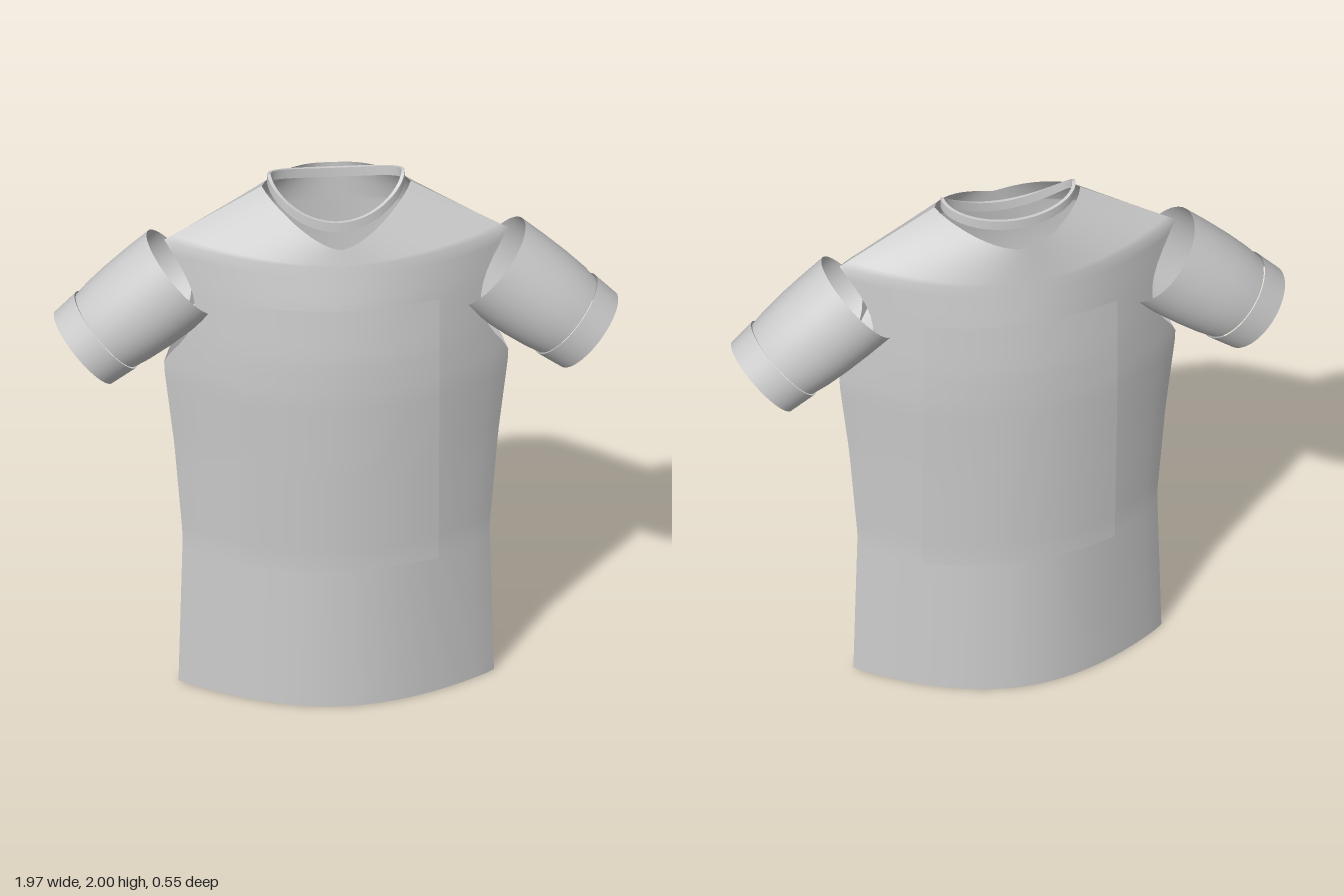
import * as THREE from 'three';

const { lerp } = THREE.MathUtils;

// Body profile: height, half width, front depth, back depth
const profile = [
  [0, 0.55, 0.225, 0.24], [0.58, 0.535, 0.23, 0.238], [0.95, 0.565, 0.255, 0.255],
  [1.25, 0.6, 0.272, 0.268], [1.4, 0.6, 0.274, 0.27], [1.6, 0.6, 0.262, 0.262], [1.76, 0.6, 0.237, 0.25],
];
const NECK = { halfWidth: 0.26, side: 1.96, front: 1.82, back: 1.91 };

function section(y) {
  let i = 0;
  while (i < profile.length - 2 && y > profile[i + 1][0]) i++;
  const a = profile[i], b = profile[i + 1], t = (y - a[0]) / (b[0] - a[0]);
  return { w: lerp(a[1], b[1], t), front: lerp(a[2], b[2], t), back: lerp(a[3], b[3], t) };
}

// Pointed-oval cross-section: 1 at the middle, 0 at the side seam
const bulge = (u, power = 0.88) => Math.pow(Math.max(0, Math.cos((Math.PI / 2) * u)), power);

// Surface from a rule: fn(s, t) returns [x, y, z] with s and t in 0..1
function grid(ns, nt, fn) {
  const pos = [], index = [];
  for (let j = 0; j <= nt; j++)
    for (let i = 0; i <= ns; i++) pos.push(...fn(i / ns, j / nt));
  for (let j = 0; j < nt; j++)
    for (let i = 0; i < ns; i++) {
      const a = j * (ns + 1) + i, b = a + 1, c = a + ns + 1, d = c + 1;
      index.push(a, b, d, a, d, c);
    }
  const geo = new THREE.BufferGeometry();
  geo.setAttribute('position', new THREE.Float32BufferAttribute(pos, 3));
  geo.setIndex(index);
  geo.computeVertexNormals();
  return geo;
}

// One half of the body; side is 1 for the front, -1 for the back
function bodyHalf(side) {
  const key = side > 0 ? 'front' : 'back';
  const lower = 0.8; // share of the rows below the shoulders
  return grid(40, 50, (s, t) => {
    const u = (s * 2 - 1) * side;
    if (t <= lower) {
      const y = (t / lower) * 1.76, c = section(y);
      // Armhole cut into the side seam
      const k = Math.min(1, Math.max(0, (y - 1.29) / 0.47));
      const v = u * (1 - 0.17 * Math.sin(Math.PI * k));
      return [c.w * v, y, side * c[key] * bulge(v)];
    }
    // Shoulders close in towards the neckline
    const k = (t - lower) / (1 - lower), c = section(1.76);
    const neckY = lerp(NECK[key], NECK.side, Math.pow(Math.abs(u), 1.4));
    const depth = lerp(c[key], side > 0 ? 0.225 : 0.24, k);
    return [u * lerp(c.w, NECK.halfWidth, k), lerp(1.76, neckY, k), side * depth * bulge(u, lerp(0.88, 0.75, k))];
  });
}

// Thin panel lying on the chest or the back
function panelGeometry(side) {
  return grid(24, 24, (s, t) => {
    const x = (s * 2 - 1) * 0.345 * side, y = lerp(0.545, 1.6, t), c = section(y);
    const depth = side > 0 ? c.front : c.back;
    return [x, y, side * (depth * bulge(x / c.w) + 0.005 + 0.028 * (x / 0.345) ** 2)];
  });
}

// Neck band: a thin rectangular section swept round an oval that dips at the front
function collarGeometry() {
  const corners = [[0, 0], [0.012, 0], [0.012, 0.036], [0, 0.036], [0, 0]];
  const parts = new THREE.Group();
  for (let e = 0; e < 4; e++) {
    parts.add(new THREE.Mesh(grid(72, 1, (s, t) => {
      const a = -s * Math.PI * 2, sin = Math.sin(a);
      const [out, up] = corners[e + t];
      const drop = (sin > 0 ? 0.135 : 0.045) * Math.pow(Math.abs(sin), 1.5);
      return [(0.228 + out) * Math.cos(a), 1.964 - drop + up, -0.01 + (0.11 + out) * sin];
    })));
  }
  return parts;
}

export function createModel() {
  const fabric = new THREE.MeshStandardMaterial({ color: 0xcccccc, side: THREE.DoubleSide });
  fabric.name = 'light grey fabric';

  const shirt = new THREE.Group();
  shirt.name = 'shirt';
  const add = (parent, name, geometry) => {
    const mesh = new THREE.Mesh(geometry, fabric);
    mesh.name = name;
    parent.add(mesh);
    return mesh;
  };

  // Body and panels
  for (const [side, label] of [[1, 'front'], [-1, 'back']]) {
    add(shirt, label + 'Body', bodyHalf(side));
    add(shirt, label + 'Panel', panelGeometry(side));
  }

  // Neck band
  const collar = collarGeometry();
  collar.name = 'collar';
  collar.children.forEach((mesh, i) => {
    mesh.material = fabric;
    mesh.name = ['collarBottom', 'collarOutside', 'collarTop', 'collarInside'][i];
  });
  shirt.add(collar);

  // Open tapered sleeves with a slightly raised cuff
  const lathe = (pts) => new THREE.LatheGeometry(pts.map(([r, y]) => new THREE.Vector2(r, y)), 48);
  const sleeveGeo = lathe([[0.164, -0.12], [0.174, -0.06], [0.181, 0.02], [0.185, 0.12], [0.186, 0.222]]);
  const cuffGeo = lathe([[0.161, -0.222], [0.17, -0.12]]);
  for (const [side, label] of [[1, 'left'], [-1, 'right']]) {
    const sleeve = new THREE.Group();
    sleeve.name = label + 'Sleeve';
    add(sleeve, label + 'SleeveTube', sleeveGeo);
    add(sleeve, label + 'Cuff', cuffGeo);
    sleeve.scale.z = 0.95;
    sleeve.rotation.z = side * 0.87;
    sleeve.position.set(side * 0.71, 1.48, -0.01);
    shirt.add(sleeve);
  }
  return shirt;
}
